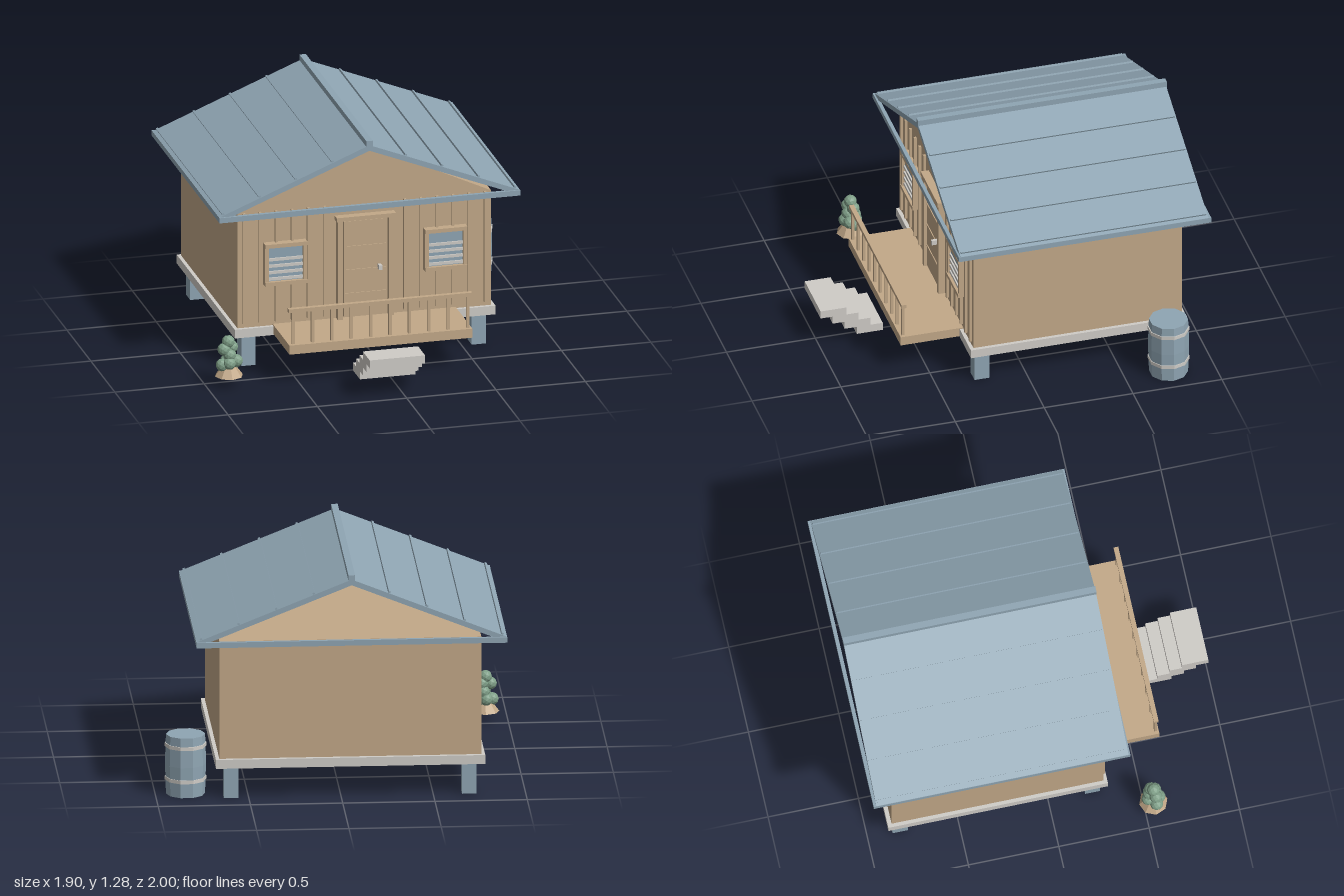
import * as THREE from 'three';

export function createModel() {
  const model = new THREE.Group();
  const mat = (name, color, extra = {}) => {
    const m = new THREE.MeshStandardMaterial({ color, flatShading: true, ...extra });
    m.name = name;
    return m;
  };
  const wood = mat('tan wood', 0xc2a888, { side: THREE.DoubleSide });
  const blue = mat('slate blue', 0x8fa5b3);
  const stone = mat('pale stone', 0xcfccc7);
  const leaf = mat('leaf green', 0x7f9f88);

  const add = (parent, name, geo, material, x = 0, y = 0, z = 0) => {
    const m = new THREE.Mesh(geo, material);
    m.name = name;
    m.position.set(x, y, z);
    parent.add(m);
    return m;
  };
  // Box given by its limits on each axis
  const box = (parent, name, material, x0, x1, y0, y1, z0, z1) =>
    add(parent, name, new THREE.BoxGeometry(x1 - x0, y1 - y0, z1 - z0), material,
      (x0 + x1) / 2, (y0 + y1) / 2, (z0 + z1) / 2);

  // The house is symmetric about its own centre line
  const house = new THREE.Group();
  house.name = 'house';
  house.position.x = -0.05;
  model.add(house);

  // Base slab, posts and walls
  box(house, 'baseSlab', stone, -0.73, 0.73, 0.175, 0.225, -0.895, 0.32);
  for (const s of [-1, 1]) for (const z of [0.245, -0.82])
    box(house, 'post', blue, s * 0.645 - 0.04, s * 0.645 + 0.04, 0, 0.175, z - 0.042, z + 0.042);
  box(house, 'walls', wood, -0.71, 0.71, 0.225, 0.885, -0.873, 0.3);

  // Front gable; the rear of the attic is open
  const gable = new THREE.Shape([[-0.71, 0.885], [0.71, 0.885], [0, 1.22]].map(p => new THREE.Vector2(...p)));
  add(house, 'frontGable', new THREE.ShapeGeometry(gable), wood, 0, 0, 0.3);

  // Vertical battens on the front wall, leaving the doorway free
  for (let i = 0; i < 16; i++) {
    const x = -0.675 + i * 0.09;
    if (Math.abs(x) > 0.15) box(house, 'batten', wood, x - 0.007, x + 0.007, 0.25, 0.885, 0.3, 0.315);
  }

  // Roof: folded slab, ridge cap, standing seams and eave frame
  const roof = new THREE.Shape([[0, 1.252], [-0.84, 0.915], [-0.84, 0.885], [0, 1.22], [0.84, 0.885], [0.84, 0.915]]
    .map(p => new THREE.Vector2(...p)));
  add(house, 'roof', new THREE.ExtrudeGeometry(roof, { depth: 1.395, bevelEnabled: false }), blue, 0, 0, -0.985);
  box(house, 'ridgeCap', blue, -0.018, 0.018, 1.23, 1.277, -0.987, 0.412);
  const slope = Math.atan2(0.337, 0.84);
  for (const s of [-1, 1]) {
    for (let i = 1; i <= 4; i++) {
      const x = i * 0.204;
      const seam = add(house, 'roofSeam', new THREE.BoxGeometry(0.012, 0.016, 1.38), blue,
        s * x, 1.254 - x * 0.401, -0.287);
      seam.rotation.z = -s * slope;
    }
    box(house, 'eaveBeam', blue, s * 0.832 - 0.01, s * 0.832 + 0.01, 0.885, 0.915, -1, 0.42);
  }
  for (const z of [-0.99, 0.41])
    box(house, 'gableBeam', blue, -0.84, 0.84, 0.885, 0.915, z - 0.01, z + 0.01);

  // Door
  const door = new THREE.Group();
  door.name = 'door';
  house.add(door);
  box(door, 'doorLeaf', wood, -0.118, 0.118, 0.24, 0.79, 0.3, 0.322);
  for (const s of [-1, 1])
    box(door, 'doorCasing', wood, s * 0.143 - 0.014, s * 0.143 + 0.014, 0.23, 0.805, 0.3, 0.338);
  box(door, 'doorLintel', wood, -0.166, 0.166, 0.8, 0.823, 0.3, 0.345);
  for (const y of [0.375, 0.51, 0.645])
    box(door, 'doorStrip', wood, -0.115, 0.115, y - 0.003, y + 0.003, 0.32, 0.327);
  box(door, 'doorHandle', stone, 0.069, 0.086, 0.505, 0.532, 0.32, 0.355);

  // Windows with pale slats
  for (const s of [-1, 1]) {
    const win = new THREE.Group();
    win.name = 'window';
    win.position.set(s * 0.448, 0.586, 0);
    house.add(win);
    box(win, 'windowPane', blue, -0.1, 0.1, -0.1, 0.1, 0.3, 0.324);
    for (const t of [-1, 1]) {
      box(win, 'windowJamb', wood, t * 0.107 - 0.011, t * 0.107 + 0.011, -0.12, 0.12, 0.3, 0.34);
      box(win, 'windowRail', wood, -0.118, 0.118, t * 0.109 - 0.011, t * 0.109 + 0.011, 0.3, 0.345);
    }
    for (let i = 0; i < 4; i++) {
      const y = 0.027 - i * 0.037;
      box(win, 'windowSlat', stone, -0.096, 0.096, y - 0.008, y + 0.008, 0.324, 0.332);
    }
  }

  // Porch deck and railing
  box(house, 'porchDeck', wood, -0.513, 0.511, 0.18, 0.232, 0.3, 0.652);
  box(house, 'handrail', wood, -0.515, 0.512, 0.417, 0.438, 0.621, 0.647);
  for (let i = 0; i < 10; i++) {
    const x = -0.488 + i * 0.1085;
    box(house, 'baluster', wood, x - 0.008, x + 0.008, 0.235, 0.42, 0.627, 0.642);
  }

  // Stair slabs, the highest one outermost
  for (let i = 0; i < 4; i++) {
    const z = 0.65 + i * 0.068, y = 0.055 + i * 0.0455;
    box(house, 'stairSlab', stone, -0.157, 0.153, y, y + 0.0455, z, z + 0.146);
  }

  // Ten-sided barrel with pale hoops
  const barrel = new THREE.Group();
  barrel.name = 'barrel';
  barrel.position.set(0.835, 0, -0.747);
  barrel.rotation.y = Math.PI / 2;
  model.add(barrel);
  const profile = [[0, 0], [0.106, 0], [0.109, 0.09], [0.111, 0.17], [0.109, 0.27], [0.106, 0.335], [0, 0.335]];
  add(barrel, 'barrelBody', new THREE.LatheGeometry(profile.map(p => new THREE.Vector2(...p)), 10), blue);
  for (const y of [0.09, 0.277])
    add(barrel, 'barrelHoop', new THREE.CylinderGeometry(0.113, 0.113, 0.02, 10), stone, 0, y, 0);

  // Potted shrub made of round clumps
  const shrub = new THREE.Group();
  shrub.name = 'shrub';
  shrub.position.set(-0.875, 0, 0.55);
  model.add(shrub);
  add(shrub, 'pot', new THREE.CylinderGeometry(0.042, 0.078, 0.05, 8), wood, 0, 0.08, 0);
  add(shrub, 'trunk', new THREE.CylinderGeometry(0.012, 0.016, 0.14, 6), wood, 0, 0.165, 0);
  const clumps = [[-0.003, 0.25, 0], [-0.03, 0.21, 0.008], [0.018, 0.215, -0.01], [0, 0.178, 0.015], [0.01, 0.17, -0.02],
    [-0.04, 0.122, 0.01], [0.038, 0.142, 0.015], [0.035, 0.122, -0.015], [-0.005, 0.13, -0.03], [-0.005, 0.135, 0.03]];
  for (const [x, y, z] of clumps)
    add(shrub, 'leafClump', new THREE.IcosahedronGeometry(0.036, 1), leaf, x, y, z);

  return model;
}
